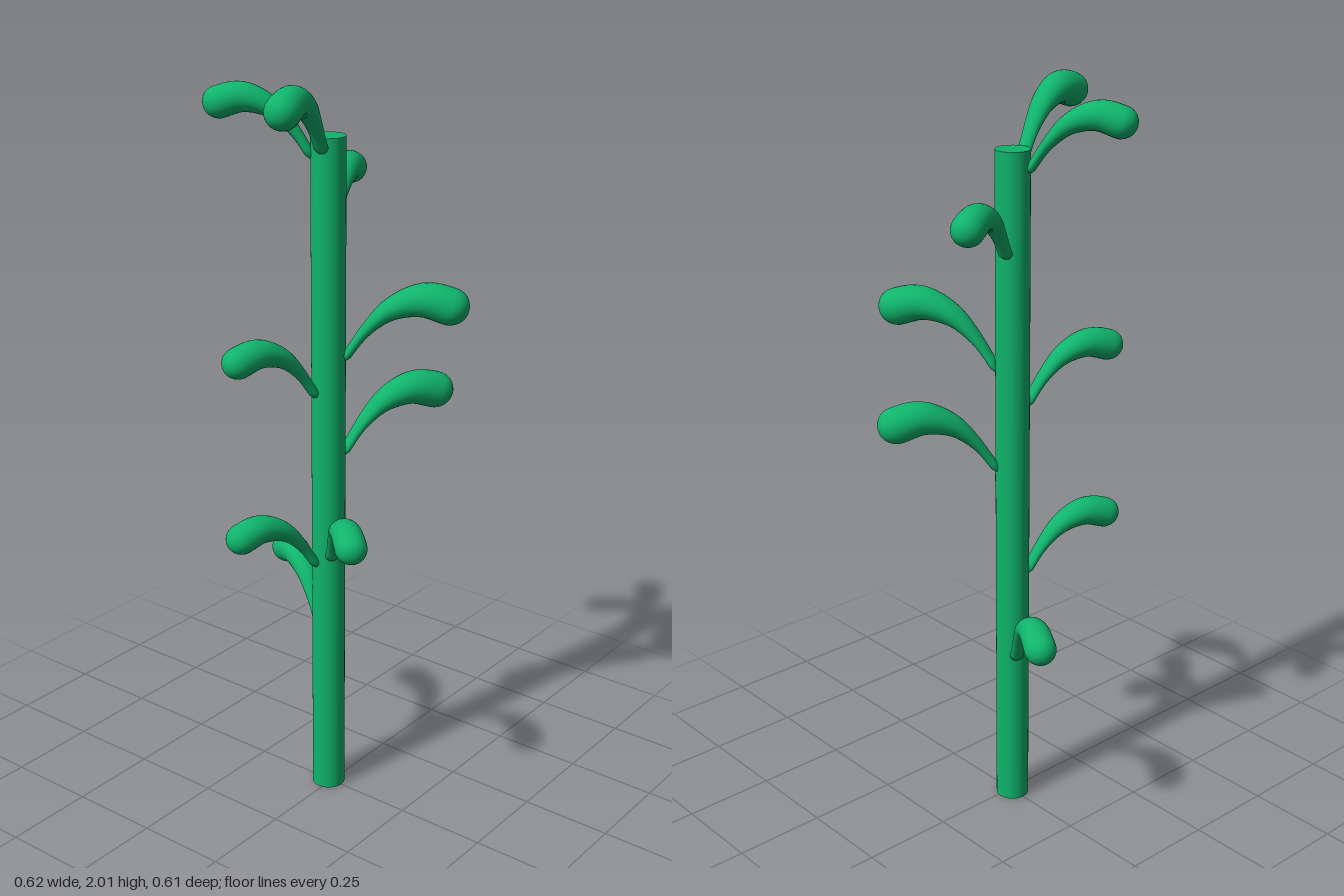
import * as THREE from 'three';
import { mergeVertices } from 'three/addons/utils/BufferGeometryUtils.js';

const AXIS_Z = -0.01;
const STEM_RADIUS = 0.045;
const STEM_HEIGHT = 1.85;

// bulb centre x, z; height of base and of bulb centre; bulb radius
const LEAVES = [
  [0.135, -0.268, 0.45, 0.61, 0.042],
  [-0.26, -0.095, 0.69, 0.825, 0.041],
  [-0.182, 0.205, 0.715, 0.855, 0.042],
  [0.265, 0.145, 1.0, 1.145, 0.049],
  [-0.26, -0.095, 1.175, 1.308, 0.041],
  [0.165, 0.255, 1.27, 1.42, 0.049],
  [0.25, -0.13, 1.585, 1.712, 0.042],
  [-0.15, -0.235, 1.795, 1.928, 0.041],
  [-0.268, 0.065, 1.815, 1.953, 0.044],
];

// A club-shaped lathe bent along an arching path in the local xy plane
function leafGeometry(reach, rise, radius) {
  const start = 0.04;
  const span = reach - start;
  const path = new THREE.CatmullRomCurve3([
    [start, 0],
    [start + 0.22 * span, 0.56 * rise],
    [start + 0.45 * span, 0.93 * rise],
    [start + 0.75 * span, 1.1 * rise],
    [reach, rise],
    [reach + 0.92 * radius, rise - 0.35 * radius],
  ].map(([x, y]) => new THREE.Vector3(x, y, 0)));
  const length = path.getLength();
  const capStart = 1 - radius / length;

  // Profile: rounded base, slender neck, swelling to a hemispherical tip
  const profile = [new THREE.Vector2(0, 0), new THREE.Vector2(0.012, 0.004)];
  const steps = 24;
  for (let i = 1; i <= steps; i++) {
    const t = i / steps;
    const swell = THREE.MathUtils.smoothstep(t, 0.1, 0.97);
    profile.push(new THREE.Vector2(THREE.MathUtils.lerp(0.019, radius, swell), t * capStart));
  }
  for (let i = 1; i <= 8; i++) {
    const a = (i / 8) * Math.PI / 2;
    profile.push(new THREE.Vector2(
      i === 8 ? 0 : radius * Math.cos(a),
      capStart + (1 - capStart) * Math.sin(a)
    ));
  }
  const lathe = new THREE.LatheGeometry(profile, 24);

  // Bend, flattening the neck more than the bulb
  const pos = lathe.attributes.position;
  for (let i = 0; i < pos.count; i++) {
    const u = THREE.MathUtils.clamp(pos.getY(i), 0, 1);
    const p = path.getPointAt(u);
    const tan = path.getTangentAt(u);
    const flat = THREE.MathUtils.lerp(0.65, 1, THREE.MathUtils.smoothstep(u, 0, 0.85));
    const n = pos.getZ(i) * flat;
    pos.setXYZ(i, p.x - tan.y * n, p.y + tan.x * n, pos.getX(i));
  }

  // Weld the seam so the normals stay smooth
  lathe.deleteAttribute('uv');
  lathe.deleteAttribute('normal');
  const geometry = mergeVertices(lathe, 1e-5);
  geometry.computeVertexNormals();
  return geometry;
}

export function createModel() {
  const model = new THREE.Group();
  model.name = 'plantStalk';
  const green = new THREE.MeshStandardMaterial({ color: 0x10b46c });

  // Upright stem
  const stem = new THREE.Mesh(
    new THREE.CylinderGeometry(STEM_RADIUS, STEM_RADIUS, STEM_HEIGHT, 32), green);
  stem.name = 'stem';
  stem.position.set(0, STEM_HEIGHT / 2, AXIS_Z);
  model.add(stem);

  // Arching leaves around the stem
  LEAVES.forEach(([x, z, baseY, bulbY, radius], i) => {
    const dz = z - AXIS_Z;
    const leaf = new THREE.Mesh(leafGeometry(Math.hypot(x, dz), bulbY - baseY, radius), green);
    leaf.name = `leaf${i + 1}`;
    leaf.position.set(0, baseY, AXIS_Z);
    leaf.rotation.y = Math.atan2(-dz, x);
    model.add(leaf);
  });

  return model;
}
